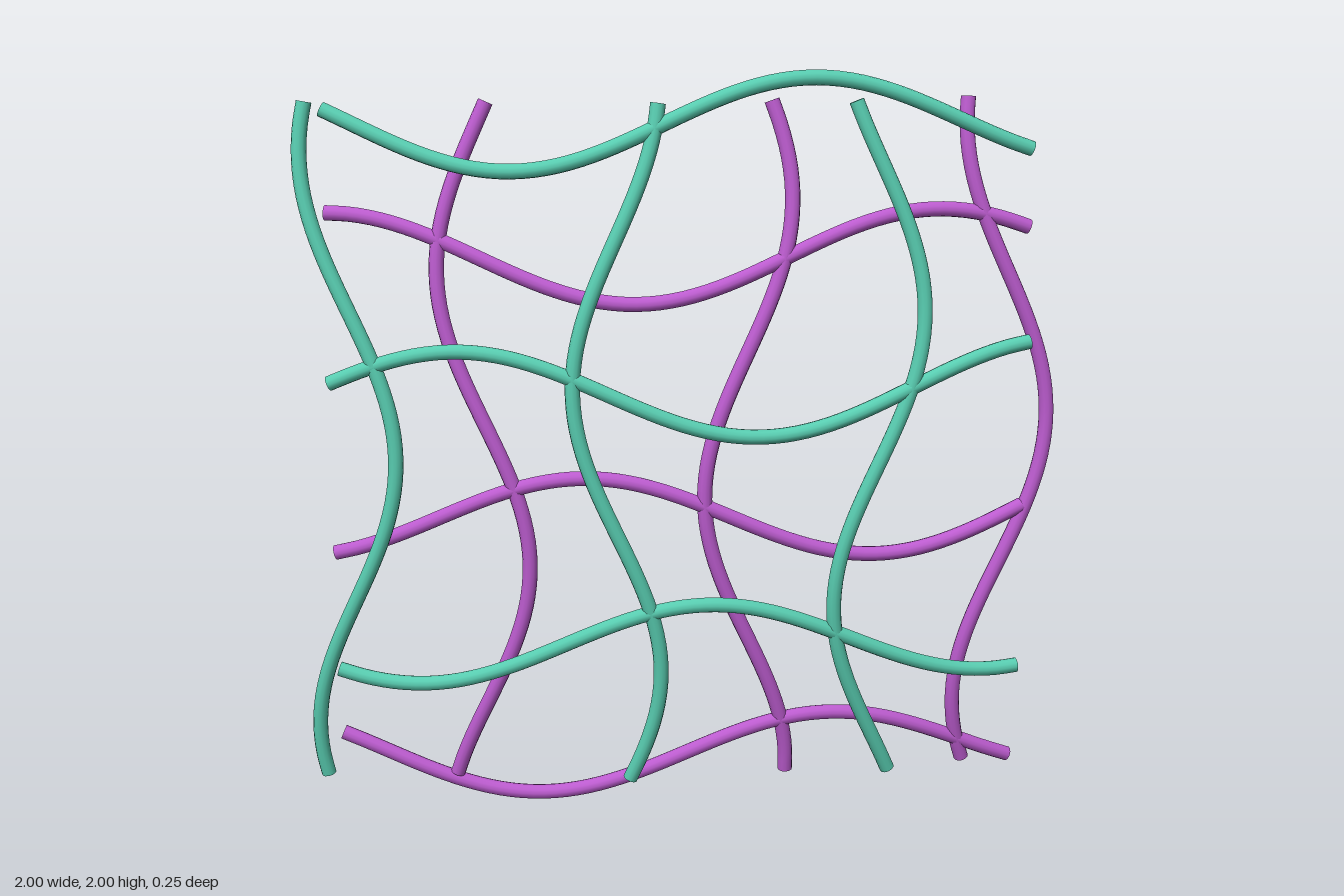
import * as THREE from 'three';

const COUNT = 6;          // strands in each direction
const SPACING = 0.346;
const HALF = 0.92;        // half length of a strand
const AMP = 0.115;        // height of the wave
const FREQ = 4;
const RADIUS = 0.02;

const teal = new THREE.MeshStandardMaterial({ color: 0x58ccb0 });
teal.name = 'teal';
const purple = new THREE.MeshStandardMaterial({ color: 0xbc5ccf });
purple.name = 'purple';

// gentle bulge of the whole net toward the front
const bulge = (x, v) => 0.095 - 0.1 * x * x - 0.1 * v * v;

// wavy centre line; teal strands lie in front of purple ones
function strandCurve(index, vertical, front) {
  const centre = (index - (COUNT - 1) / 2) * SPACING;
  const phase = vertical ? Math.PI / 2 + 1.2 * index : 1.3 * index;
  const points = [];
  for (let i = 0; i <= 32; i++) {
    const along = -HALF + (2 * HALF * i) / 32;
    const across = centre + AMP * Math.sin(FREQ * along + phase);
    const x = vertical ? across : along;
    const v = vertical ? along : across;
    points.push(new THREE.Vector3(x, v + 1, bulge(x, v) - (front ? 0 : 0.04)));
  }
  return new THREE.CatmullRomCurve3(points);
}

// round strand with flat closed ends
function makeStrand(name, curve, material) {
  const strand = new THREE.Group();
  strand.name = name;
  const tube = new THREE.Mesh(new THREE.TubeGeometry(curve, 64, RADIUS, 12), material);
  tube.name = 'strandTube';
  strand.add(tube);
  for (const end of [0, 1]) {
    const cap = new THREE.Mesh(new THREE.CircleGeometry(RADIUS, 12), material);
    cap.name = end ? 'endCap' : 'startCap';
    const outward = curve.getTangentAt(end).multiplyScalar(end ? 1 : -1);
    cap.position.copy(curve.getPointAt(end));
    cap.quaternion.setFromUnitVectors(new THREE.Vector3(0, 0, 1), outward);
    strand.add(cap);
  }
  return strand;
}

export function createModel() {
  const net = new THREE.Group();
  net.name = 'wavyNet';
  for (let i = 0; i < COUNT; i++) {
    // colours alternate: crosswise from purple, upright from teal
    for (const vertical of [false, true]) {
      const front = (i % 2 === 0) === vertical;
      const name = (vertical ? 'uprightStrand' : 'crossStrand') + (i + 1);
      net.add(makeStrand(name, strandCurve(i, vertical, front), front ? teal : purple));
    }
  }
  return net;
}
